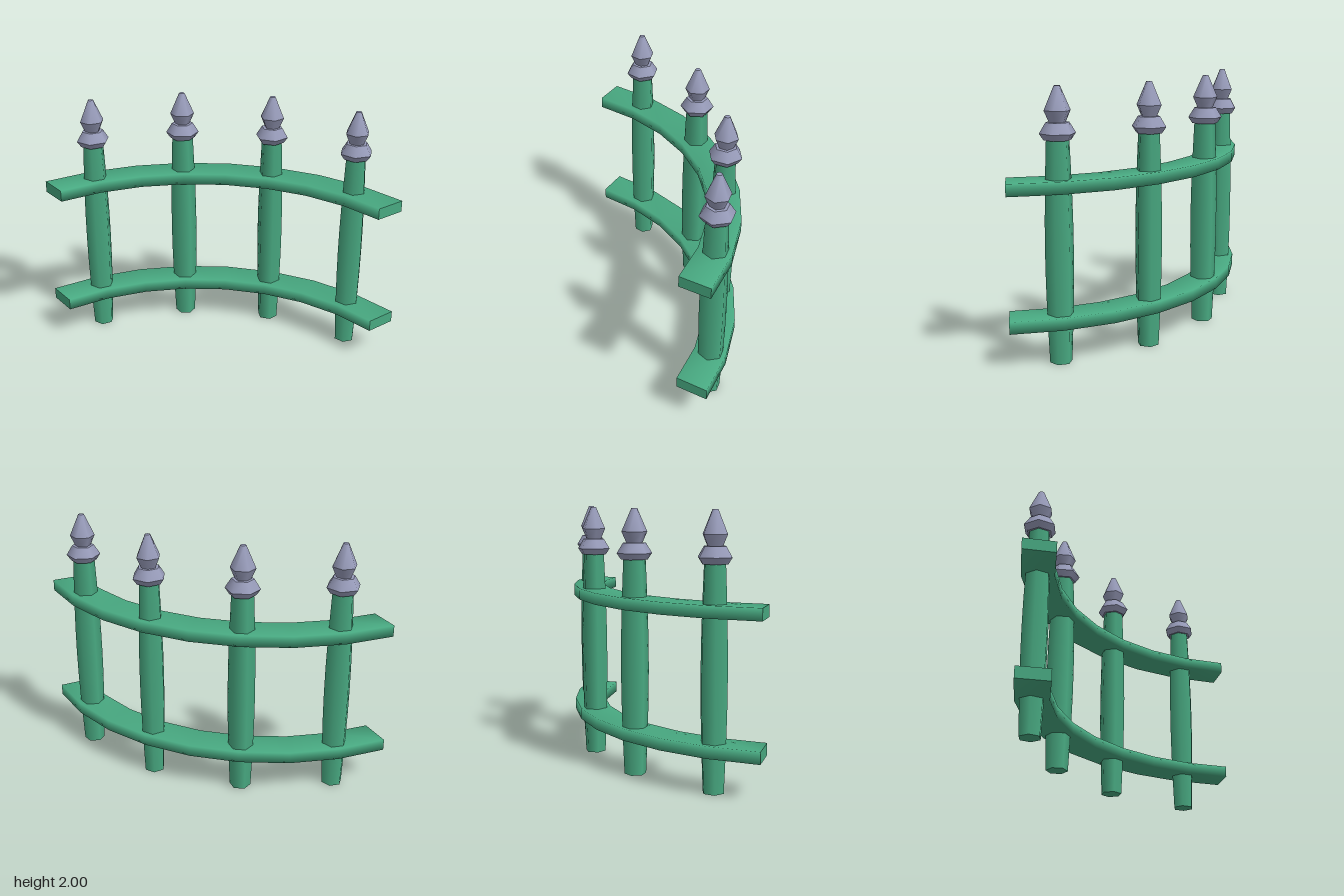
import * as THREE from 'three';

const green = new THREE.MeshStandardMaterial({ color: 0x48a981 });
green.name = 'green paint';
const grey = new THREE.MeshStandardMaterial({ color: 0x979bb9 });
grey.name = 'blue grey metal';

// The fence follows a quarter circle centred on (1, 1)
const OUTER = 2, INNER = 1.75, MIDDLE = 1.878, STEPS = 8;
const arcPoint = (r, a, y) => [1 - r * Math.cos(a), y, 1 - r * Math.sin(a)];

function addMesh(parent, name, geometry, material, y = 0) {
  const mesh = new THREE.Mesh(geometry, material);
  mesh.name = name;
  mesh.position.y = y;
  parent.add(mesh);
  return mesh;
}

// Curved rail: a rectangular section swept along the arc, with flat ends
function railGeometry(y0, y1) {
  const corners = [[OUTER, y0], [OUTER, y1], [INNER, y1], [INNER, y0]];
  const pos = [], index = [];
  const addSection = (a) => corners.forEach(([r, y]) => pos.push(...arcPoint(r, a, y)));
  for (let k = 0; k <= STEPS; k++) addSection((k / STEPS) * Math.PI / 2);
  for (let k = 0; k < STEPS; k++) {
    for (let c = 0; c < 4; c++) {
      const d = (c + 1) % 4, p = k * 4, q = p + 4;
      index.push(p + c, p + d, q + d, p + c, q + d, q + c);
    }
  }
  const s = pos.length / 3;
  addSection(0);
  addSection(Math.PI / 2);
  index.push(s, s + 3, s + 2, s, s + 2, s + 1);
  index.push(s + 4, s + 5, s + 6, s + 4, s + 6, s + 7);
  const g = new THREE.BufferGeometry();
  g.setAttribute('position', new THREE.Float32BufferAttribute(pos, 3));
  g.setIndex(index);
  g.computeVertexNormals();
  return g;
}

// Six-sided post that swells gently at mid height
function postGeometry() {
  const h = 1.64;
  const g = new THREE.CylinderGeometry(1, 1, h, 6, 8);
  g.translate(0, h / 2, 0);
  const p = g.attributes.position;
  for (let i = 0; i < p.count; i++) {
    const r = 0.083 + 0.022 * Math.sin(Math.PI * p.getY(i) / h);
    p.setX(i, p.getX(i) * r);
    p.setZ(i, p.getZ(i) * r);
  }
  return g;
}

// Six-sided tapered band standing between two heights
function band(parent, name, r0, y0, r1, y1) {
  const g = new THREE.CylinderGeometry(r1, r0, y1 - y0, 6);
  addMesh(parent, name, g, grey, (y0 + y1) / 2);
}

export function createModel() {
  const model = new THREE.Group();
  model.name = 'curvedFence';

  addMesh(model, 'lowerRail', railGeometry(0.275, 0.365), green);
  addMesh(model, 'upperRail', railGeometry(1.26, 1.35), green);

  const post = postGeometry();
  for (let i = 0; i < 4; i++) {
    const a = ((2 * i + 1) / 8) * Math.PI / 2;
    const picket = new THREE.Group();
    picket.name = 'picket' + (i + 1);
    picket.position.set(...arcPoint(MIDDLE, a, 0));
    picket.rotation.y = -a; // one corner points along the arc
    addMesh(picket, 'post', post, green);
    // Collar and spear tip
    band(picket, 'collarLower', 0.1, 1.625, 0.132, 1.672);
    band(picket, 'collarUpper', 0.132, 1.672, 0.085, 1.748);
    band(picket, 'spearBase', 0.06, 1.748, 0.096, 1.83);
    band(picket, 'spearTip', 0.096, 1.83, 0.022, 2);
    model.add(picket);
  }
  return model;
}
